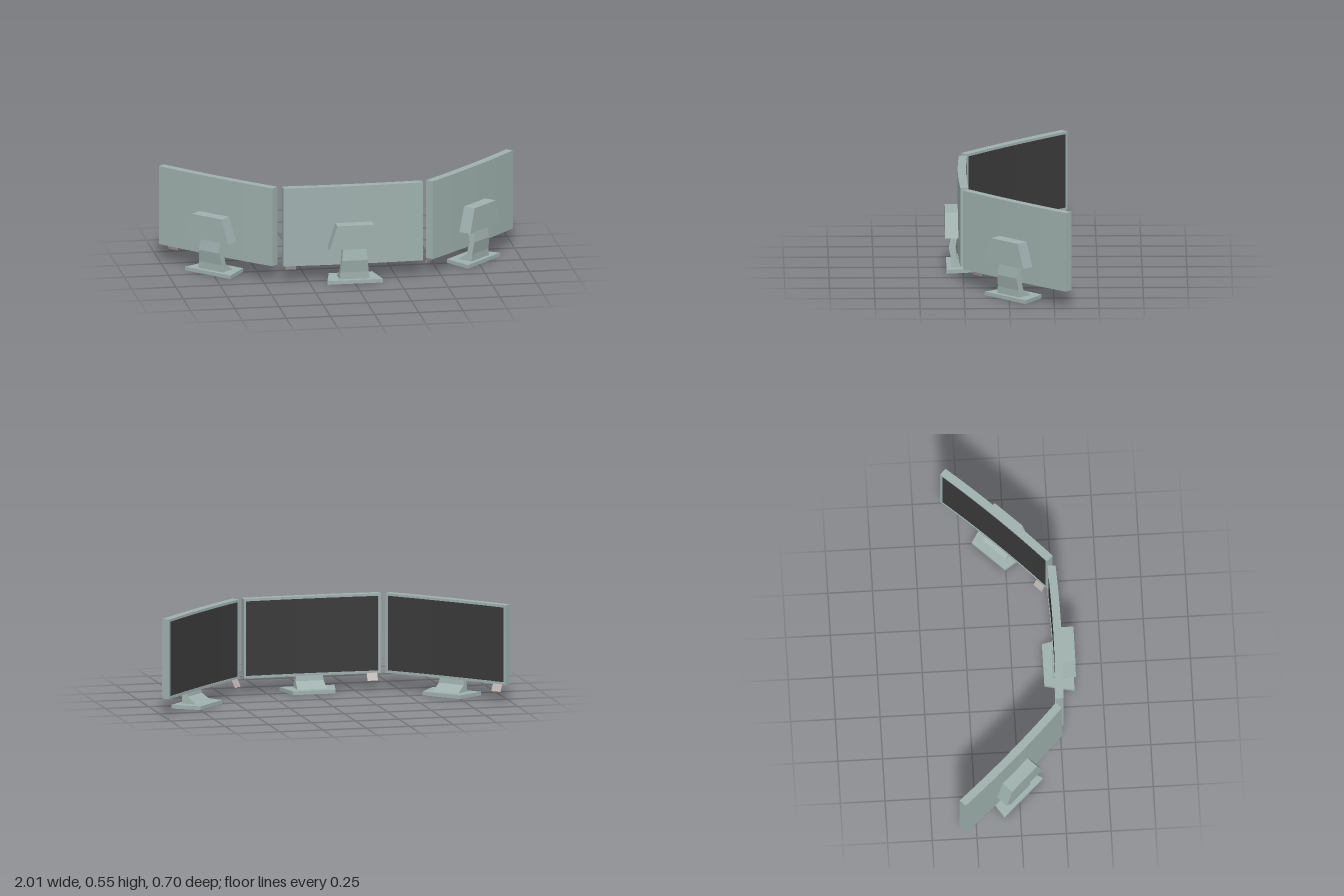
import * as THREE from 'three';

const HALF = 0.395, BOTTOM = 0.097, TOP = 0.548;
const SAG = 0.011;    // how far the ends of the curved panel come forward
const PIVOT_Z = 0.244;

const mat = (color) => new THREE.MeshStandardMaterial({ color, flatShading: true });

// Box between two corners, bent along x into a shallow arc.
function bentBox(x0, x1, y0, y1, z0, z1) {
  const g = new THREE.BoxGeometry(x1 - x0, y1 - y0, z1 - z0, 8, 1, 1);
  g.translate((x0 + x1) / 2, (y0 + y1) / 2, (z0 + z1) / 2);
  const p = g.attributes.position;
  for (let i = 0; i < p.count; i++) {
    p.setZ(i, p.getZ(i) - SAG * (p.getX(i) / HALF) ** 2);
  }
  g.computeVertexNormals();
  return g;
}

// Prism from an outline of [a, b] points.
function prism(points, depth) {
  const shape = new THREE.Shape(points.map(([a, b]) => new THREE.Vector2(a, b)));
  return new THREE.ExtrudeGeometry(shape, { depth, bevelEnabled: false });
}

// Prism with a [z, y] side profile, centred across x.
function sideProfile(points, width) {
  return prism(points, width).translate(0, 0, -width / 2).rotateY(-Math.PI / 2);
}

function createMonitor() {
  const body = mat(0x9eb0ad), dark = mat(0x3a3a3a), pale = mat(0xbab2b1);
  const monitor = new THREE.Group();
  const add = (name, geometry, material) => {
    const m = new THREE.Mesh(geometry, material);
    m.name = name;
    m.position.z = -PIVOT_Z;
    monitor.add(m);
    return m;
  };

  // Curved panel with a raised frame round the screen
  const b = 0.014, f = 0.233, r = 0.239;
  add('panelShell', bentBox(-HALF, HALF, BOTTOM, TOP, r, 0.279), body);
  add('frameTop', bentBox(-HALF, HALF, TOP - b, TOP, f, r), body);
  add('frameBottom', bentBox(-HALF, HALF, BOTTOM, BOTTOM + b, f, r), body);
  for (const s of [-1, 1]) {
    const x = s * (HALF - b / 2);
    add('frameSide', bentBox(x - b / 2, x + b / 2, BOTTOM + b, TOP - b, f, r), body);
  }
  add('screen', bentBox(-HALF + b, HALF - b, BOTTOM + b, TOP - b, r - 0.002, r + 0.002), dark);

  // Tapered housing on the back
  add('rearHousing', prism([[-0.147, 0.2], [0.147, 0.2], [0.103, 0.338], [-0.103, 0.338]], 0.08)
    .translate(0, 0, 0.271), body);

  // Kinked neck, narrowing upwards
  const neck = sideProfile([
    [0.224, 0.02], [0.317, 0.02], [0.317, 0.06], [0.329, 0.13], [0.317, 0.202],
    [0.28, 0.202], [0.293, 0.13], [0.282, 0.06],
  ].reverse(), 2);
  const p = neck.attributes.position;
  for (let i = 0; i < p.count; i++) {
    p.setX(i, p.getX(i) * THREE.MathUtils.mapLinear(p.getY(i), 0.02, 0.2, 0.085, 0.065));
  }
  neck.computeVertexNormals();
  add('neck', neck, body);

  // Flat foot, narrower below the screen
  add('base', prism([[-0.158, -0.343], [0.158, -0.343], [0.123, -0.176], [-0.123, -0.176]], 0.021)
    .rotateX(-Math.PI / 2), body);

  // Slanted tab hanging under one corner
  add('cornerTab', sideProfile([[0.22, 0.1], [0.2, 0.059], [0.204, 0.059], [0.224, 0.1]], 0.06)
    .translate(-0.343, 0, 0), pale);
  return monitor;
}

export function createModel() {
  const model = new THREE.Group();
  model.name = 'tripleMonitors';
  // Centre monitor and two turned side monitors
  for (const [name, s] of [['centreMonitor', 0], ['leftMonitor', 1], ['rightMonitor', -1]]) {
    const m = createMonitor();
    m.name = name;
    m.position.set(s * 0.711, 0, s ? -0.046 : PIVOT_Z);
    m.rotation.y = s * THREE.MathUtils.degToRad(46);
    model.add(m);
  }
  return model;
}
